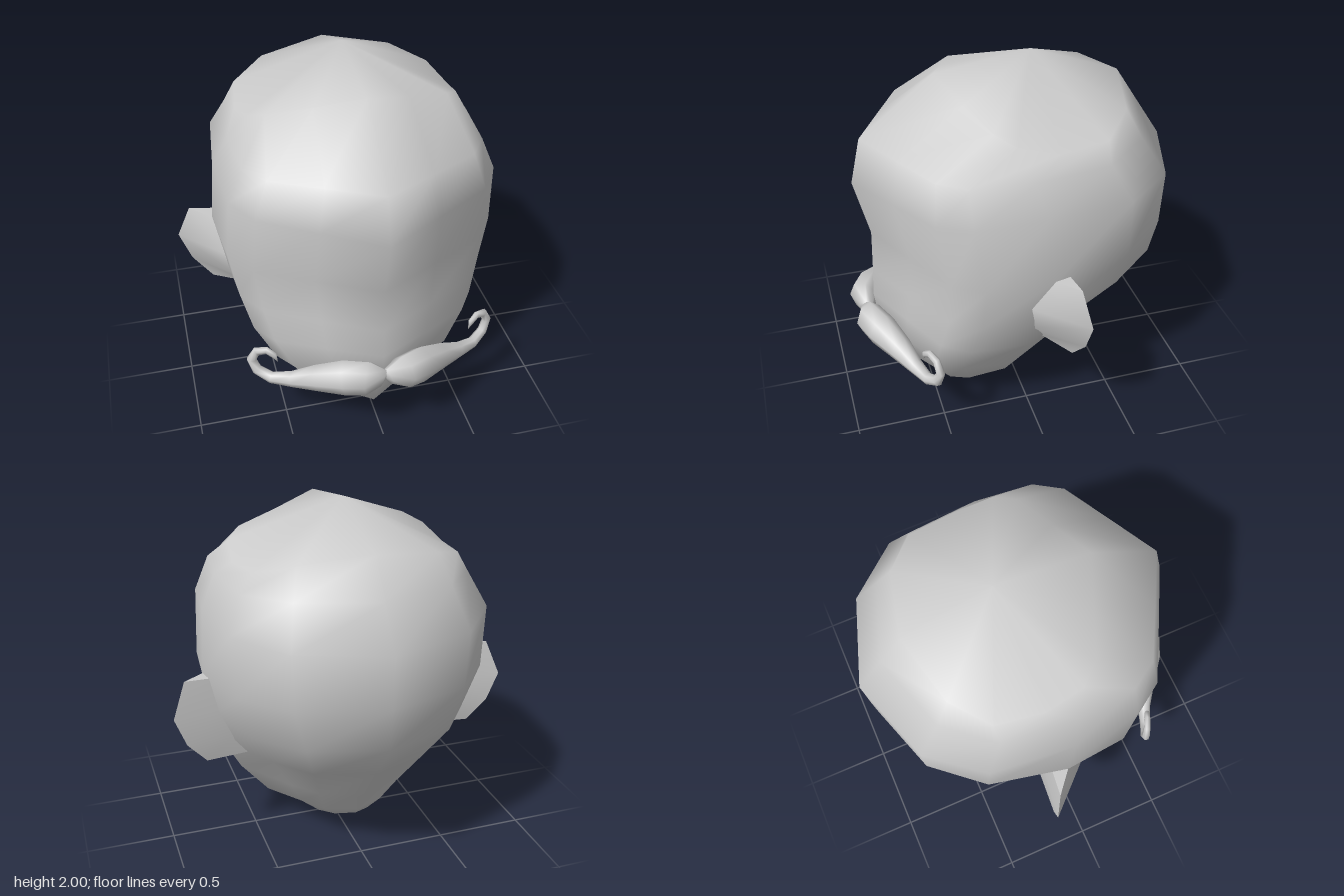
import * as THREE from 'three';
import { toCreasedNormals } from 'three/addons/utils/BufferGeometryUtils.js';

// Skin over closed rings of [x, y, z], closed by a point at each end.
// side = -1 mirrors the shape in x.
function loft(base, rings, tip, side = 1) {
  const n = rings[0].length, last = (rings.length - 1) * n, points = [...rings.flat(), base, tip];
  const baseId = points.length - 2, tipId = points.length - 1, index = [];
  const tri = (a, b, c) => (side > 0 ? index.push(a, b, c) : index.push(a, c, b));
  for (let j = 0; j < n; j++) {
    const k = (j + 1) % n;
    for (let o = 0; o < last; o += n) {
      tri(o + j, o + k, o + n + k);
      tri(o + j, o + n + k, o + n + j);
    }
    tri(baseId, k, j);
    tri(tipId, last + j, last + k);
  }
  const geo = new THREE.BufferGeometry();
  const flat = points.flatMap(([x, y, z]) => [x * side, y, z]);
  geo.setAttribute('position', new THREE.Float32BufferAttribute(flat, 3));
  geo.setIndex(index);
  geo.computeVertexNormals();
  return geo;
}

// Head: tilted rings, each with a wedge-shaped face and a rounded back.
function headGeometry() {
  // [share of half width, share of the way from front to back]
  const half = [[0, 0], [0.42, 0.095], [0.81, 0.185], [0.955, 0.28], [1, 0.49],
    [0.94, 0.75], [0.63, 0.91], [0, 1]];
  const outline = [...half, ...half.slice(1, -1).reverse().map(([w, t]) => [-w, t])];
  // [front y, front z, side y, back y, back z, half width, pinch behind the jaw]
  const levels = [
    [0.03, 0.52, 0.05, 0.2, -0.4, 0.2, 0.8],
    [0.07, 0.61, 0.15, 0.24, -0.43, 0.39, 0.7],
    [0.4, 0.77, 0.33, 0.42, -0.56, 0.55, 0.66],
    [0.57, 0.79, 0.56, 0.64, -0.73, 0.67, 0.74],
    [0.74, 0.78, 0.78, 0.87, -0.9, 0.73, 0.86],
    [1.0, 0.77, 1.05, 1.1, -0.915, 0.78, 0.94],
    [1.34, 0.85, 1.42, 1.39, -0.93, 0.755, 1],
    [1.6, 0.79, 1.59, 1.62, -0.78, 0.67, 1],
    [1.92, 0.38, 1.69, 1.82, -0.65, 0.6, 1],
  ];
  const rings = levels.map(([fy, fz, sy, by, bz, width, pinch]) =>
    outline.map(([w, t]) => [
      w * width * (t > 0.6 ? pinch : 1),
      fy * (1 - t) * (1 - 2 * t) + 4 * sy * t * (1 - t) + by * t * (2 * t - 1),
      fz + (bz - fz) * t,
    ]));
  return loft([0, 0, 0.08], rings, [0, 2, -0.15]);
}

// Ear: a swept-back wedge, each level running front root, rim, back root.
function earGeometry(side) {
  const levels = [
    [[0.62, 0.57, -0.04], [0.8, 0.56, -0.16], [0.56, 0.57, -0.15]],
    [[0.69, 0.7, 0.04], [0.91, 0.69, -0.19], [0.64, 0.7, -0.17]],
    [[0.73, 0.86, 0.06], [0.975, 0.86, -0.2], [0.7, 0.86, -0.16]],
    [[0.77, 1.05, -0.05], [0.9, 1.06, -0.16], [0.73, 1.05, -0.14]],
  ];
  return toCreasedNormals(loft([0.66, 0.565, -0.12], levels, [0.8, 1.053, -0.12], side), 0.6);
}

// Moustache half: a tapering tube that curls up and inwards.
function moustacheGeometry(side) {
  const path = [ // x, y, z, radius
    [0.01, 0.465, 0.84, 0.05], [0.1, 0.485, 0.84, 0.1], [0.21, 0.465, 0.785, 0.105],
    [0.35, 0.42, 0.705, 0.08], [0.48, 0.385, 0.645, 0.05], [0.59, 0.38, 0.6, 0.036],
    [0.66, 0.42, 0.56, 0.032], [0.685, 0.49, 0.545, 0.028], [0.655, 0.555, 0.56, 0.024],
    [0.605, 0.57, 0.585, 0.021], [0.565, 0.54, 0.605, 0.018],
  ];
  const at = (i) => new THREE.Vector3(...path[Math.max(0, Math.min(path.length - 1, i))]);
  const across = new THREE.Vector3(0.48, 0, 0.88).normalize();
  const rings = path.map(([, , , r], i) => {
    const along = at(i + 1).sub(at(i - 1));
    const up = along.cross(across).normalize();
    return Array.from({ length: 7 }, (_, k) => {
      const a = (k / 7) * Math.PI * 2;
      return at(i).addScaledVector(across, r * 0.85 * Math.cos(a))
        .addScaledVector(up, r * Math.sin(a)).toArray();
    });
  });
  return loft([0, 0.465, 0.84], rings, [0.55, 0.495, 0.61], side);
}

export function createModel() {
  const clay = new THREE.MeshStandardMaterial({ color: 0xcccccc });
  clay.name = 'paleGrey';
  const group = new THREE.Group();
  group.name = 'moustachedHead';
  const add = (name, geo) => {
    const mesh = new THREE.Mesh(geo, clay);
    mesh.name = name;
    group.add(mesh);
  };
  add('head', headGeometry());
  for (const [word, side] of [['left', 1], ['right', -1]]) {
    add(word + 'Ear', earGeometry(side));
    add(word + 'Moustache', moustacheGeometry(side));
  }
  return group;
}
